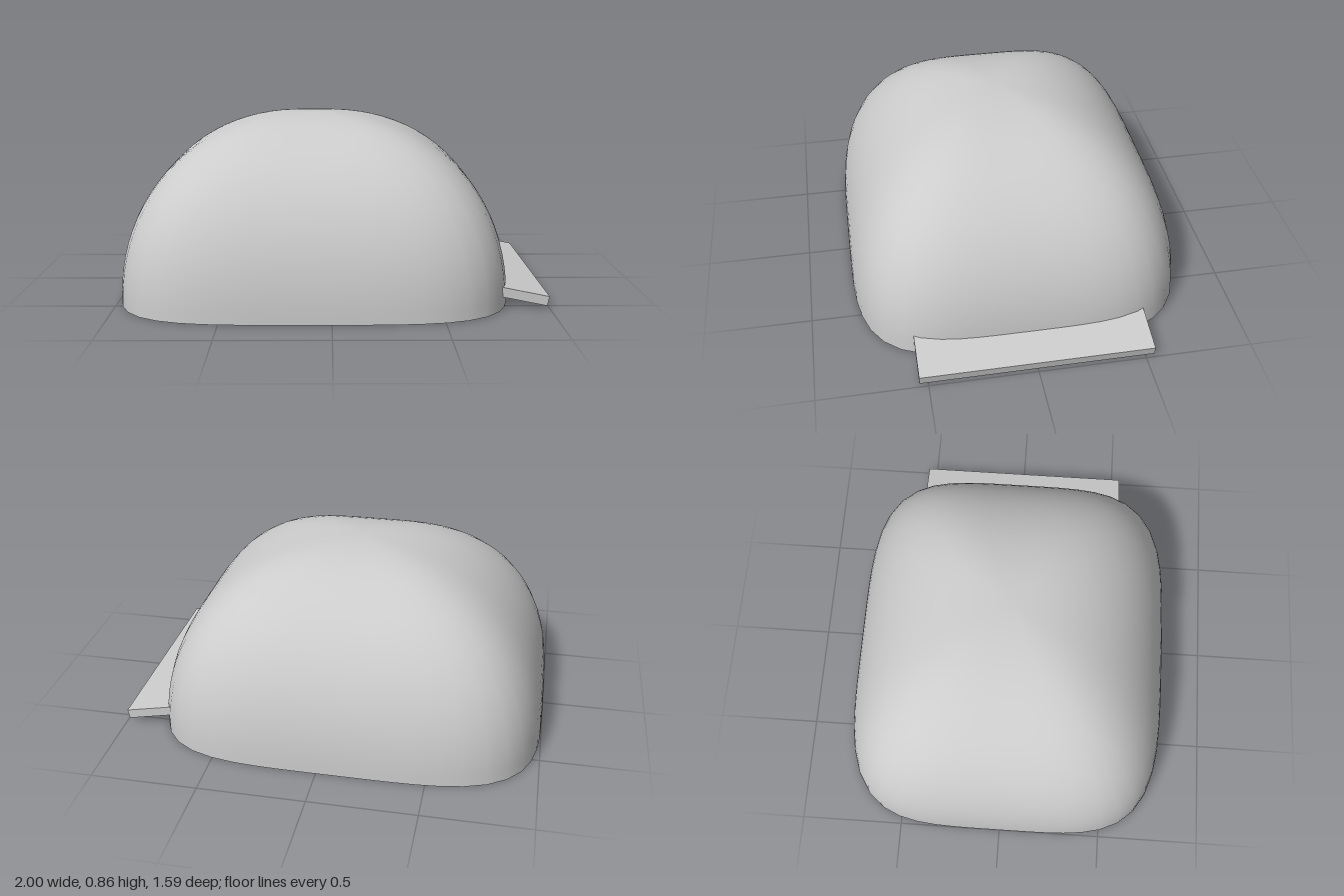
import * as THREE from 'three';
import { mergeVertices } from 'three/addons/utils/BufferGeometryUtils.js';

const HALF_X = 0.9175, HALF_Z = 0.795, HEIGHT = 0.858, CENTRE_X = -0.0825;
const PLAN_POWER = 4.2, PROFILE_POWER = 2.2, SEGMENTS = 64;

// Turns circular rings into rounded rectangles and scales them to size
function squareOff(geometry) {
  const p = geometry.attributes.position;
  for (let i = 0; i < p.count; i++) {
    const x = p.getX(i), z = p.getZ(i), r = Math.hypot(x, z);
    const k = r < 1e-6 ? 0 : r / Math.pow(
      Math.pow(Math.abs(x), PLAN_POWER) + Math.pow(Math.abs(z), PLAN_POWER), 1 / PLAN_POWER);
    p.setXYZ(i, x * k * HALF_X, p.getY(i) * HEIGHT, z * k * HALF_Z);
  }
  geometry.deleteAttribute('uv');
  geometry.deleteAttribute('normal');
  const merged = mergeVertices(geometry, 1e-5);
  merged.computeVertexNormals();
  return merged;
}

export function createModel() {
  const model = new THREE.Group();
  const grey = new THREE.MeshStandardMaterial({ color: 0xcccccc });
  grey.name = 'lightGrey';

  function add(name, geometry, x, y, z) {
    const mesh = new THREE.Mesh(geometry, grey);
    mesh.name = name;
    mesh.position.set(x, y, z);
    model.add(mesh);
    return mesh;
  }

  // Domed shell: a slightly full quarter arc swept around
  const profile = [];
  const steps = 24;
  for (let i = 0; i <= steps; i++) {
    const a = (i / steps) * Math.PI / 2;
    const c = i === steps ? 0 : Math.cos(a), s = Math.sin(a);
    const k = Math.pow(Math.pow(c, PROFILE_POWER) + Math.pow(s, PROFILE_POWER), -1 / PROFILE_POWER);
    profile.push(new THREE.Vector2(c * k, s * k));
  }
  add('dome', squareOff(new THREE.LatheGeometry(profile, SEGMENTS)), CENTRE_X, 0, 0);

  // Flat underside
  const base = new THREE.CircleGeometry(1, SEGMENTS).rotateX(Math.PI / 2);
  add('base', squareOff(base), CENTRE_X, 0, 0);

  // Sloping lip on the left side, running into the dome
  const lip = new THREE.BoxGeometry(0.3, 0.045, 1.08).translate(-0.15, 0, 0);
  add('lip', lip, 0.995, 0.033, 0).rotation.z = -0.2;

  return model;
}
